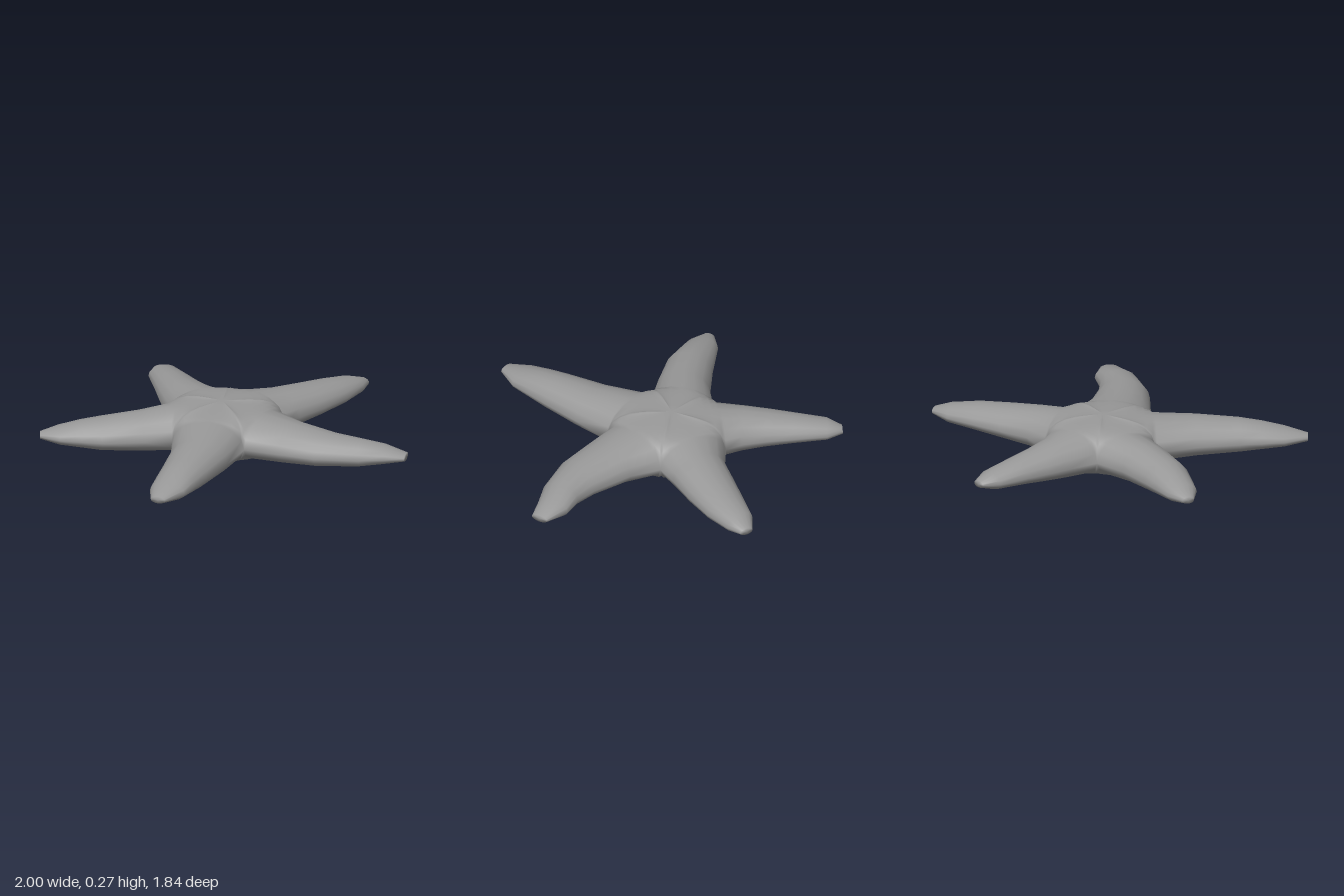
import * as THREE from 'three';
import { mergeVertices } from 'three/addons/utils/BufferGeometryUtils.js';

// Each arm: edge pairs [x, z, x, z] from the body notches out to the tip
const ARMS = {
  back: [[-0.23, -0.23, 0.16, -0.26], [-0.19, -0.4, 0.12, -0.35], [-0.16, -0.54, 0.1, -0.48],
    [-0.13, -0.66, 0.09, -0.64], [-0.09, -0.84, 0.08, -0.83], [-0.03, -0.92, 0.04, -0.92]],
  left: [[0.16, -0.26, 0.33, 0.12], [0.32, -0.24, 0.45, 0.06], [0.5, -0.28, 0.62, -0.01],
    [0.67, -0.315, 0.8, -0.1], [0.84, -0.35, 0.94, -0.2], [0.97, -0.34, 1, -0.27]],
  frontLeft: [[0.33, 0.12, -0.03, 0.39], [0.38, 0.29, 0.12, 0.53], [0.51, 0.5, 0.27, 0.67],
    [0.6, 0.6, 0.49, 0.79], [0.71, 0.67, 0.62, 0.83], [0.79, 0.79, 0.73, 0.87]],
  frontRight: [[-0.03, 0.39, -0.35, 0.12], [-0.2, 0.55, -0.45, 0.33], [-0.39, 0.71, -0.59, 0.53],
    [-0.49, 0.79, -0.665, 0.63], [-0.59, 0.87, -0.74, 0.73], [-0.73, 0.92, -0.79, 0.86]],
  right: [[-0.35, 0.12, -0.23, -0.23], [-0.5, 0.075, -0.42, -0.22], [-0.72, 0, -0.62, -0.25],
    [-0.82, -0.065, -0.74, -0.275], [-0.92, -0.13, -0.86, -0.3], [-1, -0.23, -0.97, -0.29]],
};
const MID = 0.11;                                      // height of the outline
const TOP = [0.25, 0.235, 0.215, 0.195, 0.165, 0.13];  // ridge height per station
const BOTTOM = [0.01, 0.02, 0.035, 0.05, 0.065, 0.09]; // belly height per station
const CENTRE = [-0.01, 0.03];
const SEG = 8;   // points across half a section
const RINGS = 6; // rows from the body centre to the arm root

// Half an elliptical section from one edge to the other
function section([ax, az, bx, bz], peak) {
  return Array.from({ length: SEG + 1 }, (_, j) => {
    const a = Math.PI * j / SEG, u = (1 - Math.cos(a)) / 2;
    return [ax + (bx - ax) * u, MID + (peak - MID) * Math.sin(a), az + (bz - az) * u];
  });
}

// Body rows: the root section shrinks to the centre, rising quickly out of the notches
function bodyRow(root, t, centreY) {
  return root.map(([x, y, z], j) => {
    const c = Math.abs(Math.cos(Math.PI * j / SEG));
    const rise = t + ((1 - (1 - t) ** 5) ** 0.6 - t) * c;
    return [x + (CENTRE[0] - x) * t, y + (centreY - y) * rise, z + (CENTRE[1] - z) * t];
  });
}

// Skin rows whose first and last are collapsed to a point
function addSheet(out, rows, flip) {
  const tri = (a, b, c) => out.push(...a, ...(flip ? c : b), ...(flip ? b : c));
  for (let s = 0; s < rows.length - 1; s++) {
    for (let j = 0; j < SEG; j++) {
      const p = rows[s], q = rows[s + 1];
      if (s > 0) tri(p[j], p[j + 1], q[j]);
      if (s < rows.length - 2) tri(p[j + 1], q[j + 1], q[j]);
    }
  }
}

export function createModel() {
  const positions = [];
  for (const stations of Object.values(ARMS)) {
    for (const [peaks, centreY, flip] of [[TOP, 0.272, false], [BOTTOM, 0, true]]) {
      const arm = stations.map((pair, i) => section(pair, peaks[i]));
      const body = Array.from({ length: RINGS }, (_, k) => bodyRow(arm[0], (1 - k / RINGS) ** 1.5, centreY));
      // Blunt tip closes on the middle of the last section
      const [ax, az, bx, bz] = stations[stations.length - 1];
      const tip = arm[0].map(() => [(ax + bx) / 2, MID, (az + bz) / 2]);
      addSheet(positions, [...body, ...arm, tip], flip);
    }
  }

  const soup = new THREE.BufferGeometry();
  soup.setAttribute('position', new THREE.Float32BufferAttribute(positions, 3));
  const geometry = mergeVertices(soup, 1e-4);
  geometry.computeVertexNormals();

  const starfish = new THREE.Mesh(geometry, new THREE.MeshStandardMaterial({ color: 0x999999 }));
  starfish.name = 'starfishBody';
  const group = new THREE.Group();
  group.name = 'starfish';
  group.add(starfish);
  return group;
}
